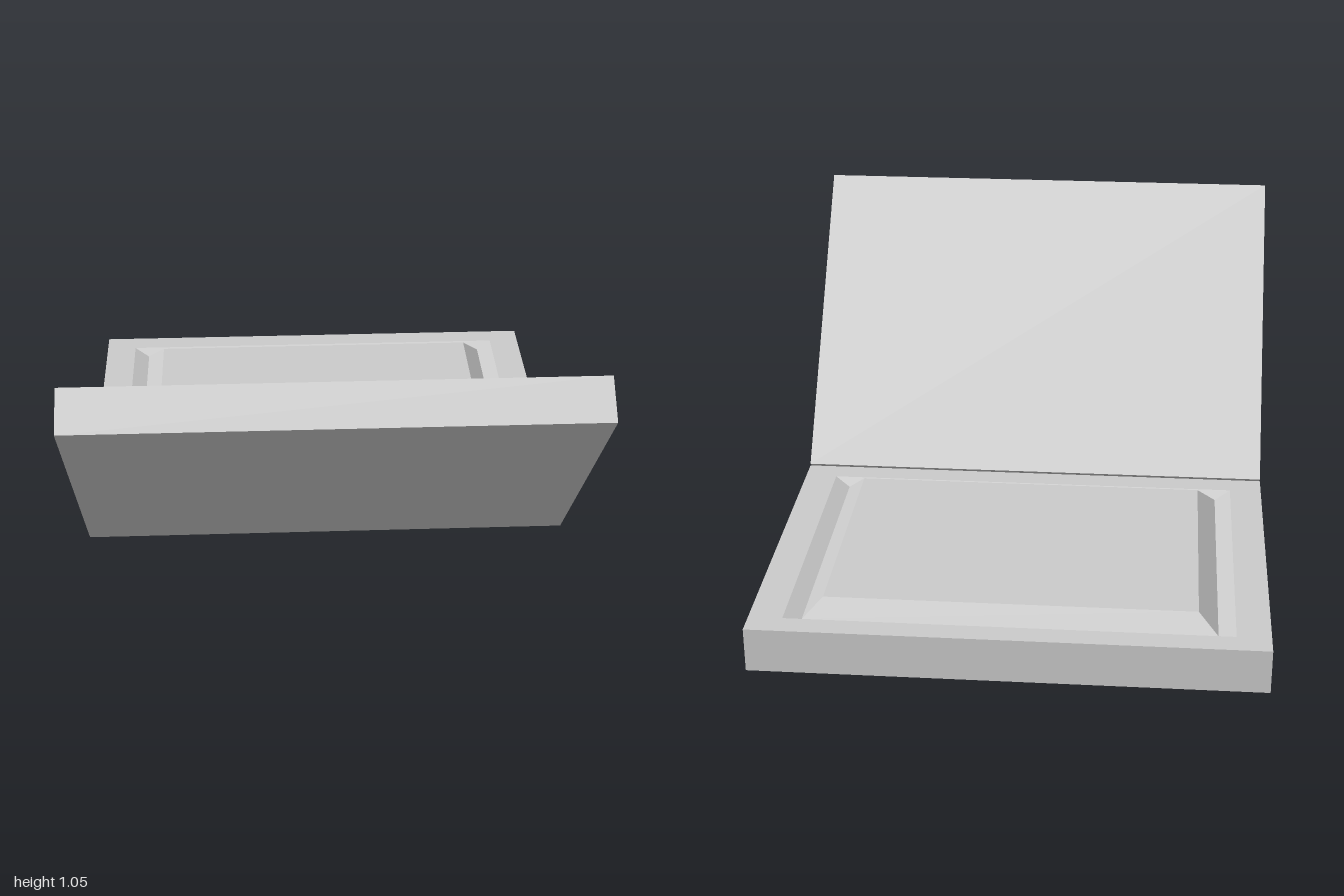
import * as THREE from 'three';

const material = new THREE.MeshStandardMaterial({ color: 0xcccccc, flatShading: true });

// Surface through stacked rectangles [halfWidth, zBack, zFront, y], optionally capped
function rectLoft(rings, capStart, capEnd) {
  const pos = [];
  const corners = ([w, b, f, y]) => [[-w, y, f], [w, y, f], [w, y, b], [-w, y, b]];
  const quad = (a, b, c, d) => pos.push(...a, ...b, ...c, ...a, ...c, ...d);
  for (let i = 0; i < rings.length - 1; i++) {
    const lo = corners(rings[i]), hi = corners(rings[i + 1]);
    for (let k = 0; k < 4; k++) {
      const n = (k + 1) % 4;
      quad(lo[k], lo[n], hi[n], hi[k]);
    }
  }
  if (capStart) quad(...corners(rings[0]).reverse());
  if (capEnd) quad(...corners(rings[rings.length - 1]));
  const geo = new THREE.BufferGeometry();
  geo.setAttribute('position', new THREE.Float32BufferAttribute(pos, 3));
  geo.computeVertexNormals();
  return geo;
}

export function createModel() {
  const group = new THREE.Group();
  const add = (name, geometry) => {
    const mesh = new THREE.Mesh(geometry, material);
    mesh.name = name;
    group.add(mesh);
    return mesh;
  };

  const groove = [0.667, -0.889, 0.034, 0.13];

  // Base slab with a sloped groove cut into its top
  add('base', rectLoft([
    [0.833, -1, 0.152, 0],
    [0.833, -1, 0.152, 0.152],
    [0.722, -0.923, 0.071, 0.152],
    groove,
  ], true, false));

  // Bevelled panel rising out of the groove
  add('raisedPanel', rectLoft([groove, [0.603, -0.844, -0.009, 0.19]], false, true));

  // Open lid, tilted about the hinge edge
  const lid = add('lid', new THREE.BoxGeometry(1.666, 0.149, 1.152));
  lid.position.set(0, 0.555, 0.577);
  lid.rotation.x = -Math.atan2(0.888, 0.734);

  return group;
}
